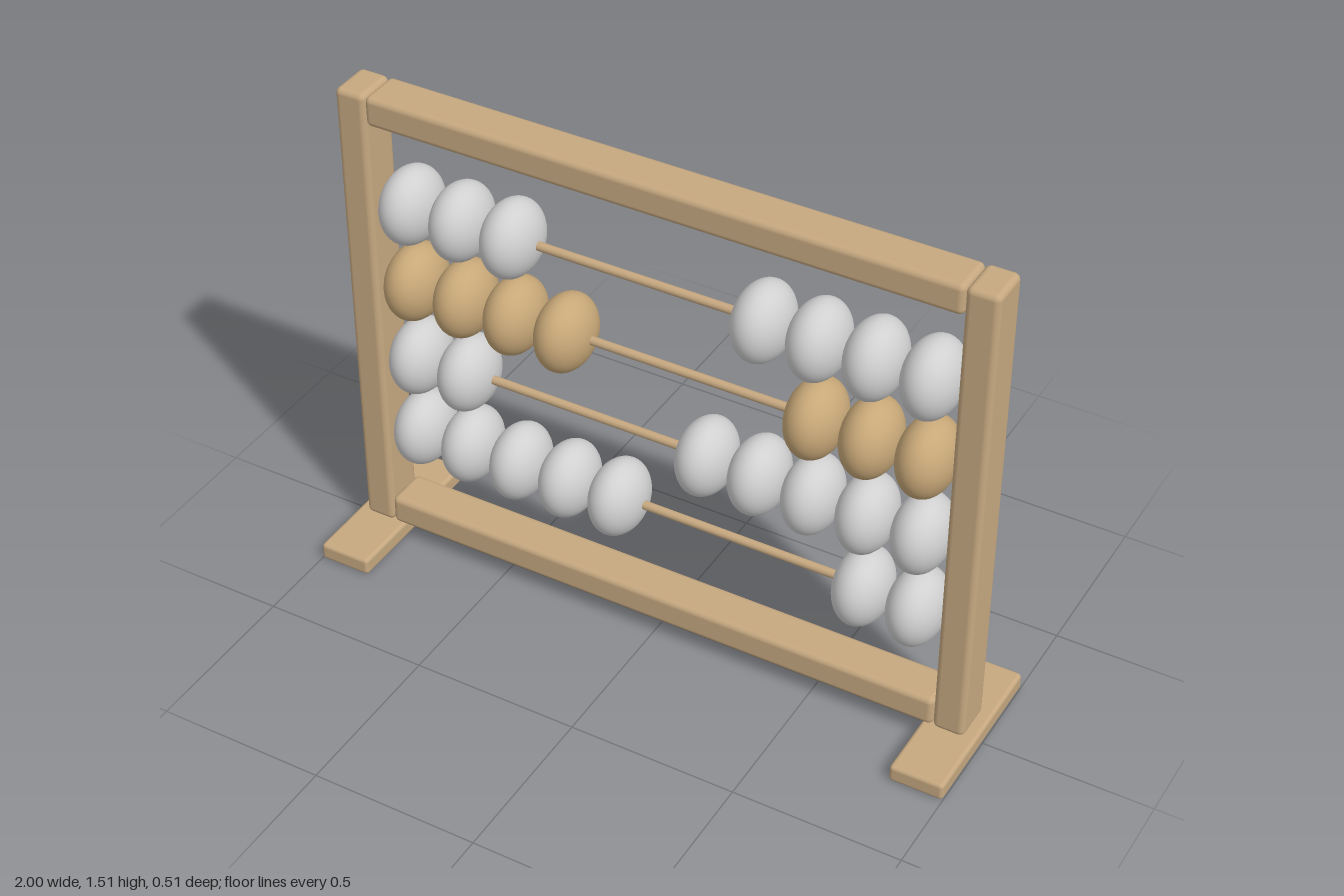
import * as THREE from 'three';
import { RoundedBoxGeometry } from 'three/addons/geometries/RoundedBoxGeometry.js';

export function createModel() {
  const model = new THREE.Group();
  model.name = 'abacus';

  const material = (name, color) => {
    const m = new THREE.MeshStandardMaterial({ color });
    m.name = name;
    return m;
  };
  const wood = material('frame wood', 0xc6a880);
  const tan = material('tan bead', 0xc8a878);
  const grey = material('grey bead', 0xd0d0d0);

  const add = (name, geometry, mat, x, y, z = 0, parent = model) => {
    const mesh = new THREE.Mesh(geometry, mat);
    mesh.name = name;
    mesh.position.set(x, y, z);
    parent.add(mesh);
    return mesh;
  };

  // Frame: two posts on feet, joined by two rails
  const post = new RoundedBoxGeometry(0.094, 1.457, 0.13, 3, 0.018);
  const foot = new RoundedBoxGeometry(0.16, 0.054, 0.51, 3, 0.012);
  const rail = new RoundedBoxGeometry(1.748, 0.092, 0.13, 3, 0.018);
  for (const [side, s] of [['left', 1], ['right', -1]]) {
    add(side + 'Post', post, wood, s * 0.921, 0.7825);
    add(side + 'Foot', foot, wood, s * 0.92, 0.027);
  }
  add('bottomRail', rail, wood, 0, 0.101);
  add('topRail', rail, wood, 0, 1.465);

  // Rods with beads pushed to either end
  const rod = new THREE.CylinderGeometry(0.013, 0.013, 1.78, 20).rotateZ(Math.PI / 2);
  const bead = new THREE.SphereGeometry(1, 40, 28).scale(0.08, 0.115, 0.115);
  const rows = [
    { y: 0.405, atRight: 5, atLeft: 2, mat: grey },
    { y: 0.658, atRight: 2, atLeft: 5, mat: grey },
    { y: 0.912, atRight: 4, atLeft: 3, mat: tan },
    { y: 1.165, atRight: 3, atLeft: 4, mat: grey },
  ];
  rows.forEach(({ y, atRight, atLeft, mat }, i) => {
    const row = new THREE.Group();
    row.name = 'beadRow' + (i + 1);
    row.position.y = y;
    model.add(row);
    add('rod', rod, wood, 0, 0, 0, row);
    for (const [count, s] of [[atRight, -1], [atLeft, 1]]) {
      for (let k = 0; k < count; k++) {
        add('bead', bead, mat, s * (0.782 - k * 0.161), 0, 0, row);
      }
    }
  });

  return model;
}
